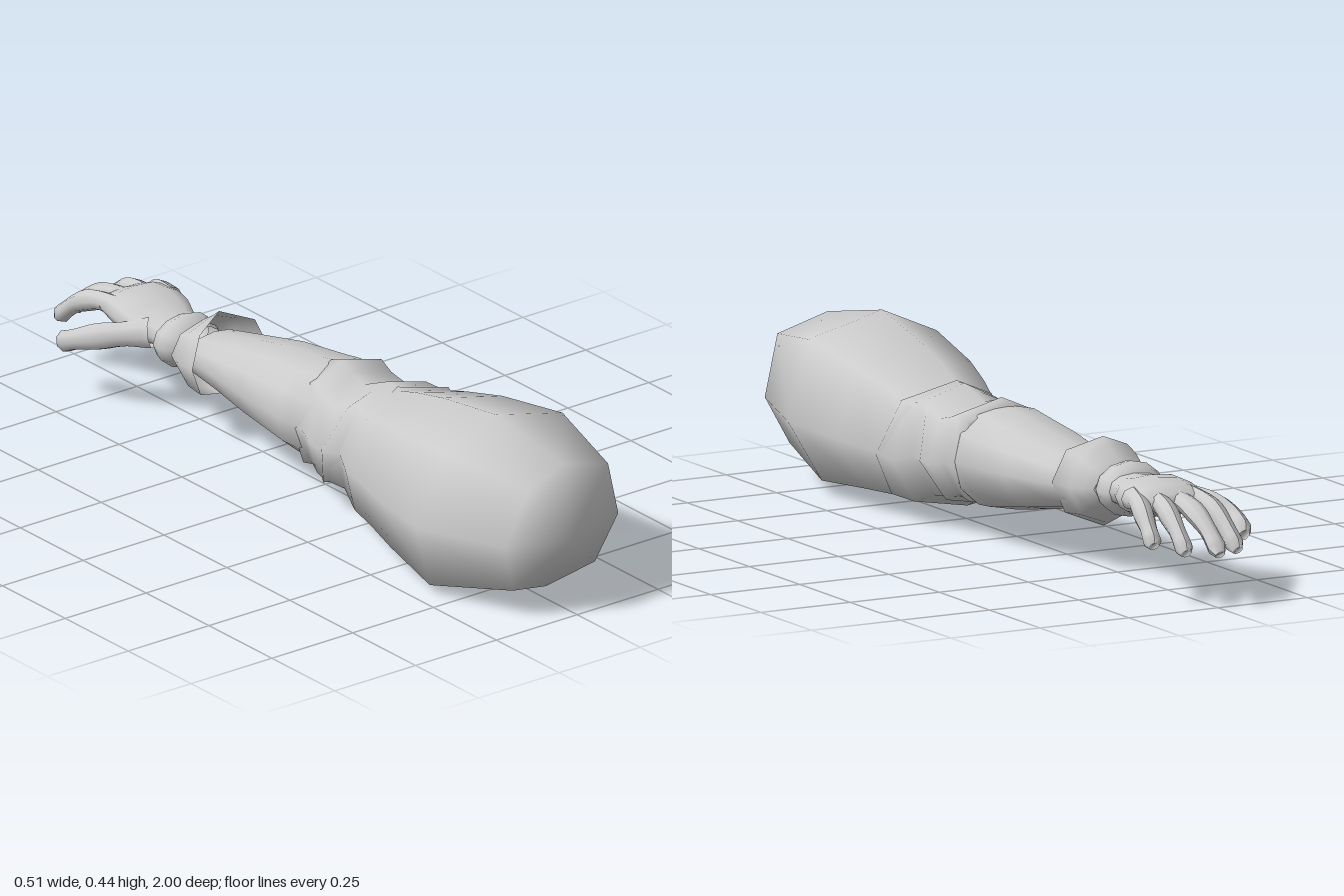
import * as THREE from 'three';

const material = new THREE.MeshStandardMaterial({ color: 0xcccccc, side: THREE.DoubleSide });

// Unit outlines, counter-clockwise seen from the front
const SLEEVE = [[1, -0.14], [0.74, 0.76], [-0.08, 1], [-0.67, 0.7], [-1, -0.13], [-0.8, -0.9], [-0.2, -1], [0.65, -0.84]];
const oval = (n, power = 1) => Array.from({ length: n }, (_, i) => {
  const a = (i / n) * Math.PI * 2;
  const soft = (v) => Math.sign(v) * Math.abs(v) ** power;
  return [soft(Math.cos(a)), soft(Math.sin(a))];
});

// Skin an outline through rows of [z, xMin, xMax, yMin, yMax, tilt], running front to back
function loft(name, outline, rows, { capFront = null, capBack = null, zigzag = null } = {}) {
  const n = outline.length, pos = [], idx = [];
  rows.forEach(([z, x0, x1, y0, y1, tilt = 0], r) => {
    outline.forEach(([u, v], j) => {
      const jag = zigzag && r === zigzag.row ? zigzag.offsets[j % zigzag.offsets.length] : 0;
      pos.push((x0 + x1) / 2 + (u * (x1 - x0)) / 2, (y0 + y1) / 2 + (v * (y1 - y0)) / 2, z + tilt * v + jag);
    });
  });
  for (let r = 0; r < rows.length - 1; r++) {
    for (let j = 0; j < n; j++) {
      const a = r * n + j, b = r * n + (j + 1) % n;
      idx.push(a, a + n, b, b, a + n, b + n);
    }
  }
  const last = (rows.length - 1) * n;
  if (capFront) {
    const c = pos.push(...capFront) / 3 - 1;
    for (let j = 0; j < n; j++) idx.push(c, j, (j + 1) % n);
  }
  if (capBack) {
    const c = pos.push(...capBack) / 3 - 1;
    for (let j = 0; j < n; j++) idx.push(c, last + (j + 1) % n, last + j);
  }
  const g = new THREE.BufferGeometry();
  g.setAttribute('position', new THREE.Float32BufferAttribute(pos, 3));
  g.setIndex(idx);
  g.computeVertexNormals();
  const mesh = new THREE.Mesh(g, material);
  mesh.name = name;
  return mesh;
}

// Tapered finger along a curve, with a blunt closed tip
function finger(name, points, r0, r1) {
  const curve = new THREE.CatmullRomCurve3(points.map((p) => new THREE.Vector3(...p)));
  const steps = 14, sides = 8;
  const g = new THREE.TubeGeometry(curve, steps, 1, sides, false);
  const p = g.attributes.position, v = new THREE.Vector3();
  for (let i = 0; i <= steps; i++) {
    const t = i / steps, c = curve.getPointAt(Math.min(t, (steps - 0.85) / steps) + (i === steps ? 0.85 / steps : 0));
    const centre = curve.getPointAt(t);
    const knuckle = 1 + 0.08 * Math.cos(t * Math.PI * 4);
    const radius = i === steps ? r1 * 0.6 : THREE.MathUtils.lerp(r0, r1, t) * knuckle;
    for (let j = 0; j <= sides; j++) {
      const k = i * (sides + 1) + j;
      v.fromBufferAttribute(p, k).sub(centre).multiplyScalar(radius).add(c);
      p.setXYZ(k, v.x, v.y, v.z);
    }
  }
  // Fan over the last ring
  const index = Array.from(g.index.array), first = steps * (sides + 1);
  for (let j = 1; j < sides - 1; j++) index.push(first, first + j, first + j + 1);
  g.setIndex(index);
  g.computeVertexNormals();
  const mesh = new THREE.Mesh(g, material);
  mesh.name = name;
  return mesh;
}

export function createModel() {
  const model = new THREE.Group();
  model.name = 'sleevedArm';

  // Puffed upper sleeve, gathered into folds at the elbow
  model.add(loft('upperSleeve', SLEEVE, [
    [0.935, -0.17, 0.18, 0.055, 0.39, 0.02],
    [0.69, -0.255, 0.253, 0.0, 0.437, 0.015],
    [0.47, -0.21, 0.24, 0.022, 0.395],
    [0.35, -0.17, 0.215, 0.03, 0.365],
    [0.26, -0.14, 0.205, 0.032, 0.338, 0.01],
    [0.2, -0.112, 0.18, 0.06, 0.345, 0.02],
    [0.13, -0.13, 0.178, 0.07, 0.312, 0.01],
    [0.09, -0.125, 0.172, 0.075, 0.325],
    [0.05, -0.115, 0.178, 0.085, 0.342, -0.01],
    [0.01, -0.112, 0.172, 0.075, 0.328, -0.01],
    [0.015, -0.09, 0.15, 0.1, 0.3, -0.01],
  ], { capFront: [-0.02, 0.2, 1.0] }));

  // Slanted creases lying over the inner elbow
  const creases = [
    [0.31, -0.145, 0.216, 0.035, 0.345, -0.05],
    [0.16, -0.132, 0.185, 0.06, 0.334, 0.045],
  ];
  creases.forEach(([z, x0, x1, y0, y1, tilt], i) => model.add(loft(`elbowFold${i + 1}`, SLEEVE, [
    [z + 0.05, x0 + 0.02, x1 - 0.02, y0 + 0.02, y1 - 0.02, tilt],
    [z, x0, x1, y0, y1, tilt],
    [z - 0.04, x0 + 0.025, x1 - 0.025, y0 + 0.025, y1 - 0.025, tilt],
  ])));

  // Forearm sleeve
  model.add(loft('forearmSleeve', oval(12, 0.9), [
    [0.06, -0.105, 0.15, 0.09, 0.31],
    [0.01, -0.12, 0.168, 0.072, 0.328],
    [-0.04, -0.122, 0.165, 0.076, 0.32],
    [-0.2, -0.115, 0.148, 0.105, 0.3],
    [-0.32, -0.1, 0.115, 0.128, 0.278],
    [-0.44, -0.09, 0.085, 0.15, 0.255],
  ], { capBack: [-0.01, 0.2, -0.45] }));

  // Flared cuff with a pointed open edge
  model.add(loft('flaredCuff', oval(8), [
    [-0.385, -0.128, 0.108, 0.1, 0.322],
    [-0.43, -0.122, 0.095, 0.108, 0.305],
    [-0.47, -0.112, 0.085, 0.14, 0.28],
    [-0.49, -0.09, 0.06, 0.16, 0.26],
  ], { zigzag: { row: 0, offsets: [0.02, 0.01, -0.025, 0.005, 0.02, 0.01, -0.03, 0.015] } }));

  // Rounded band at the wrist
  model.add(loft('wristBand', oval(12), [
    [-0.48, -0.085, 0.05, 0.17, 0.255],
    [-0.498, -0.108, 0.06, 0.148, 0.275],
    [-0.525, -0.112, 0.066, 0.14, 0.28],
    [-0.552, -0.105, 0.062, 0.152, 0.268],
    [-0.565, -0.085, 0.05, 0.175, 0.25],
  ]));

  // Palm
  const hand = new THREE.Group();
  hand.name = 'hand';
  hand.add(loft('palm', oval(12, 0.85), [
    [-0.53, -0.085, 0.052, 0.17, 0.255],
    [-0.59, -0.09, 0.06, 0.175, 0.258],
    [-0.645, -0.115, 0.088, 0.175, 0.268],
    [-0.7, -0.105, 0.1, 0.175, 0.272],
    [-0.76, -0.092, 0.1, 0.185, 0.265],
    [-0.8, -0.085, 0.088, 0.2, 0.248],
  ], { capBack: [0, 0.224, -0.805] }));

  // Fingers curving down from the knuckles
  const fingers = [
    ['indexFinger', -0.06, -0.072, -0.97, 0.13],
    ['middleFinger', -0.012, -0.01, -0.993, 0.13],
    ['ringFinger', 0.035, 0.07, -0.965, 0.135],
    ['littleFinger', 0.075, 0.118, -0.89, 0.145],
  ];
  fingers.forEach(([name, x0, x1, z1, y1]) => {
    const z0 = name === 'littleFinger' ? -0.71 : -0.73, mid = (t) => THREE.MathUtils.lerp(z0, z1, t);
    hand.add(finger(name, [
      [x0, 0.228, z0],
      [THREE.MathUtils.lerp(x0, x1, 0.4), 0.225, mid(0.35)],
      [THREE.MathUtils.lerp(x0, x1, 0.75), 0.19, mid(0.7)],
      [x1, y1, z1],
    ], 0.028, 0.022));
  });
  hand.add(finger('thumb', [
    [-0.07, 0.215, -0.6], [-0.125, 0.2, -0.67], [-0.17, 0.17, -0.76], [-0.165, 0.135, -0.835],
  ], 0.038, 0.026));
  model.add(hand);
  return model;
}
